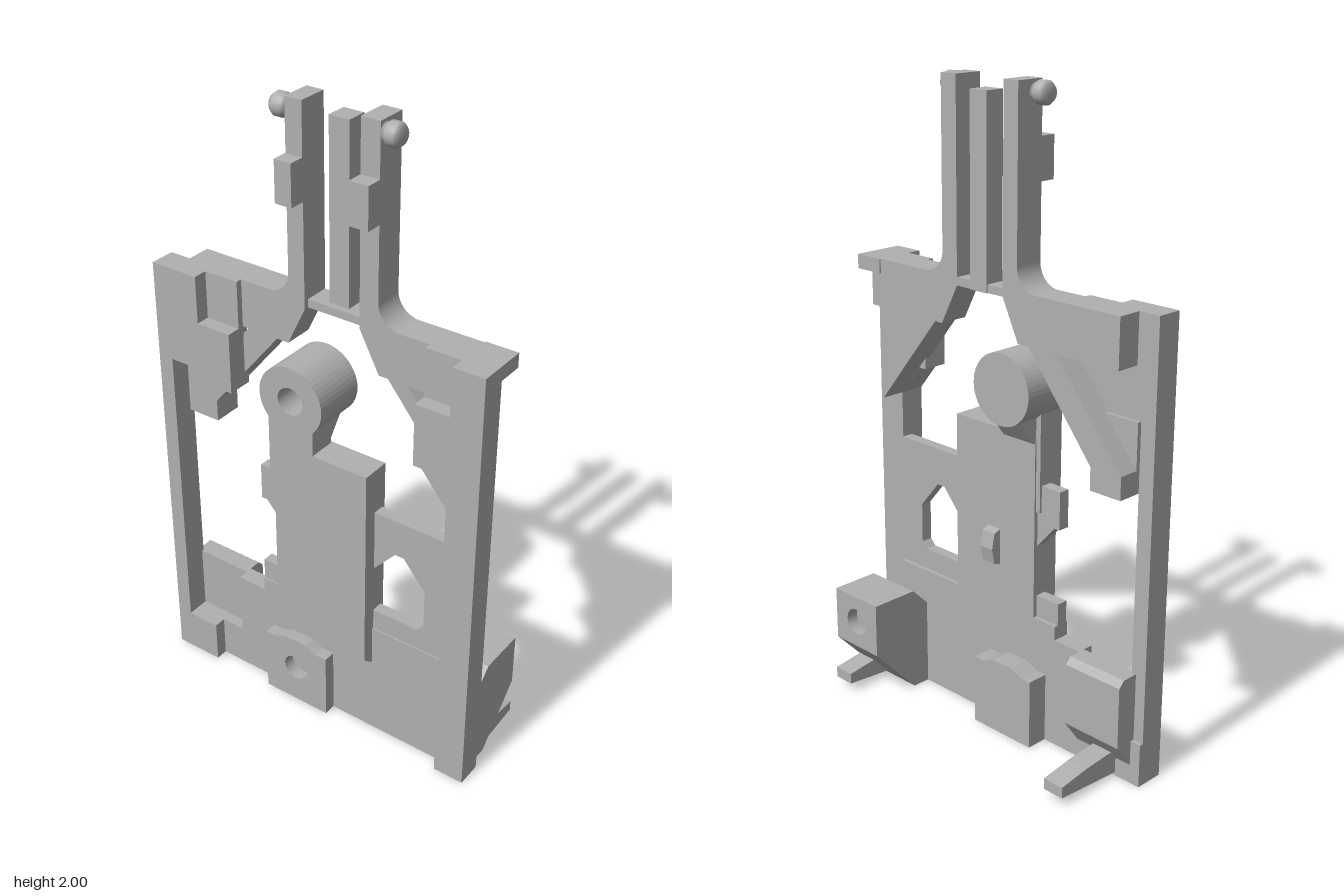
import * as THREE from 'three';

export function createModel() {
  const model = new THREE.Group();
  const grey = new THREE.MeshStandardMaterial({ color: 0xb0b0b0 });
  grey.name = 'grey plastic';

  const add = (name, geometry) => {
    const mesh = new THREE.Mesh(geometry, grey);
    mesh.name = name;
    model.add(mesh);
    return mesh;
  };
  const toShape = (pts) => new THREE.Shape(pts.map(([x, y]) => new THREE.Vector2(x, y)));
  const circle = (x, y, r) => new THREE.Path().absarc(x, y, r, 0, Math.PI * 2, true);

  // Outline in x, y extruded from z0 to z1
  const plate = (name, outline, z0, z1, holes = []) => {
    const shape = Array.isArray(outline) ? toShape(outline) : outline;
    shape.holes.push(...holes);
    const geo = new THREE.ExtrudeGeometry(shape, { depth: z1 - z0, bevelEnabled: false, curveSegments: 24 });
    return add(name, geo.translate(0, 0, z0));
  };
  // Outline in z, y extruded from x0 to x1
  const sidePlate = (name, pts, x0, x1) => {
    const shape = toShape(pts.map(([z, y]) => [-z, y]));
    const geo = new THREE.ExtrudeGeometry(shape, { depth: x1 - x0, bevelEnabled: false });
    return add(name, geo.rotateY(Math.PI / 2).translate(x0, 0, 0));
  };
  const box = (name, x0, x1, y0, y1, z0, z1) =>
    add(name, new THREE.BoxGeometry(x1 - x0, y1 - y0, z1 - z0)
      .translate((x0 + x1) / 2, (y0 + y1) / 2, (z0 + z1) / 2));

  // Side rails
  box('rightRail', -0.56, -0.51, 0, 1.425, 0.083, 0.165);
  box('leftRail', 0.46, 0.56, 0, 1.425, 0.083, 0.165);

  // Base and front corner
  plate('basePlate', [[-0.56, 0], [0.46, 0], [0.46, 0.4], [-0.22, 0.4], [-0.22, 0.355],
    [-0.32, 0.355], [-0.32, 0.14], [-0.56, 0.14]], 0.07, 0.125);
  box('frontCorner', -0.56, -0.4, 0, 0.14, 0.1, 0.165);

  // Middle bracket either side of the lever
  plate('middleBracketRight', [[-0.22, 0.4], [-0.1, 0.4], [-0.1, 0.47], [-0.22, 0.47]], 0.083, 0.12);
  plate('middleCatch', [[-0.22, 0.71], [-0.2, 0.71], [-0.13, 0.63], [-0.1, 0.63], [-0.1, 0.83],
    [-0.22, 0.83]], 0.083, 0.12);
  plate('middleBracketLeft', [[0.15, 0.4], [0.46, 0.4], [0.46, 0.83], [0.15, 0.83]], 0.083, 0.12, [
    new THREE.Path([[0.19, 0.47], [0.19, 0.62], [0.27, 0.71], [0.3, 0.71], [0.375, 0.62], [0.375, 0.49],
      [0.355, 0.47]].map(([x, y]) => new THREE.Vector2(x, y)))]);

  // Central boss with a blind hole
  const boss = [[-0.185, 0], [0.05, 0], [0.05, 0.225], [0.01, 0.225], [-0.03, 0.243], [-0.105, 0.243],
    [-0.15, 0.225], [-0.185, 0.225]];
  plate('bossFront', boss, 0.12, 0.165, [circle(-0.068, 0.132, 0.044)]);
  plate('bossBack', boss, 0, 0.08);

  // Top plate with fillets running into the two prongs
  const top = new THREE.Shape();
  top.moveTo(-0.49, 1.275);
  top.lineTo(-0.12, 1.275);
  top.lineTo(-0.06, 1.4);
  top.lineTo(-0.06, 2);
  top.lineTo(-0.115, 2);
  top.lineTo(-0.115, 1.495);
  top.absarc(-0.185, 1.495, 0.07, 0, -Math.PI / 2, true);
  top.lineTo(-0.49, 1.425);
  plate('rightProngAndTop', top, 0.005, 0.1);
  const topLeft = new THREE.Shape();
  topLeft.moveTo(0.5, 1.275);
  topLeft.lineTo(0.5, 1.425);
  topLeft.lineTo(0.255, 1.425);
  topLeft.absarc(0.255, 1.495, 0.07, -Math.PI / 2, -Math.PI, true);
  topLeft.lineTo(0.185, 2);
  topLeft.lineTo(0.125, 2);
  topLeft.lineTo(0.125, 1.4);
  topLeft.lineTo(0.19, 1.275);
  plate('leftProngAndTop', topLeft, 0.005, 0.1);
  box('topCorner', 0.46, 0.56, 1.38, 1.425, 0.0, 0.09);
  box('prongBridge', -0.07, 0.135, 1.4, 1.425, 0.005, 0.085);
  box('centreBar', 0, 0.065, 1.4, 1.965, 0.0, 0.065);

  // Prong lugs and flanged pivot pins
  for (const [x0, x1, dir] of [[-0.115, -0.06, -1], [0.125, 0.185, 1]]) {
    box('prongLug', x0, x1, 1.72, 1.845, 0.09, 0.15);
    const pin = add('pivotPin', new THREE.LatheGeometry([[0, 0], [0.027, 0], [0.027, 0.012], [0.034, 0.016],
      [0.034, 0.04], [0.025, 0.052], [0, 0.052]].map(([r, y]) => new THREE.Vector2(r, y)), 24));
    pin.rotation.z = -dir * Math.PI / 2;
    pin.position.set(dir < 0 ? x0 : x1, 1.965, 0.076);
  }

  // Diagonal braces at the back
  plate('leftBrace', [[0.19, 1.275], [0.22, 1.275], [0.46, 0.98], [0.46, 1.06], [0.28, 1.28], [0.19, 1.28]],
    0.005, 0.1);
  plate('rightBrace', [[-0.51, 0.91], [-0.4, 0.91], [-0.4, 0.98], [-0.16, 1.275], [-0.12, 1.28],
    [-0.26, 1.28], [-0.51, 0.98]], 0.005, 0.1);
  plate('bracePad', [[-0.51, 0.91], [-0.4, 0.91], [-0.4, 0.98], [-0.32, 1.08], [-0.32, 1.12],
    [-0.51, 1.12]], 0.07, 0.1);

  // Front corner plates below the top edge
  plate('rightFascia', [[-0.56, 1.12], [-0.32, 1.12], [-0.32, 1.08], [-0.285, 1.08], [-0.285, 1.275],
    [-0.4, 1.275], [-0.4, 1.425], [-0.56, 1.425]], 0.083, 0.165);
  plate('leftFascia', [[0.56, 0.98], [0.56, 1.425], [0.46, 1.425], [0.46, 1.275], [0.35, 1.275],
    [0.35, 1.08], [0.378, 1.08], [0.46, 0.98]], 0.083, 0.165);
  box('topFrontStrip', -0.42, -0.285, 1.275, 1.425, 0.09, 0.12);
  box('topFrontStrip', 0.35, 0.47, 1.275, 1.425, 0.09, 0.12);

  // Lever with bevelled lower edge, hub and tapered neck
  sidePlate('leverBody', [[0.07, 0.265], [0.125, 0.265], [0.165, 0.3], [0.165, 0.975], [0.07, 0.975]], -0.132, 0.197);
  box('leverNeck', -0.148, 0.01, 0.745, 1.07, 0.075, 0.165);
  sidePlate('neckRamp', [[0.08, 0.96], [0.08, 1.1], [0, 1.1], [0, 1.05], [0.068, 0.96]], -0.13, -0.005);
  const hub = (z0, z1, holes) => plate('leverHub',
    new THREE.Shape().absarc(-0.068, 1.13, 0.11, 0, Math.PI * 2, false), z0, z1, holes);
  hub(-0.01, 0.08);
  hub(0.08, 0.165, [circle(-0.068, 1.13, 0.044)]);
  // Small hook on the back of the lever
  sidePlate('leverHook', [[0.075, 0.53], [0.075, 0.65], [0.045, 0.64], [0.035, 0.59], [0.045, 0.54]], 0.01, 0.06);

  // Left foot, sloped underneath, with a hole in its back face
  sidePlate('leftFoot', [[0.09, 0], [0.09, 0.28], [0.075, 0.28], [0.01, 0.345], [-0.11, 0.345], [-0.11, 0.17],
    [-0.15, 0.17], [0.01, 0]], 0.345, 0.54);
  plate('leftFootBack', [[0.345, 0.17], [0.54, 0.17], [0.54, 0.345], [0.345, 0.345]], -0.15, -0.11,
    [circle(0.443, 0.257, 0.044)]);

  // Right block
  sidePlate('rightBlock', [[0.09, 0.06], [0.09, 0.355], [0.03, 0.355], [0.01, 0.335], [0.01, 0.14], [0.07, 0.06]],
    -0.525, -0.32);

  // Pegs pointing backwards
  for (const [x0, x1] of [[-0.47, -0.4], [0.463, 0.533]]) {
    sidePlate('backPeg', [[0.08, 0.01], [0.08, 0.09], [-0.06, 0.08], [-0.165, 0.065], [-0.165, 0.03]], x0, x1);
  }
  return model;
}
